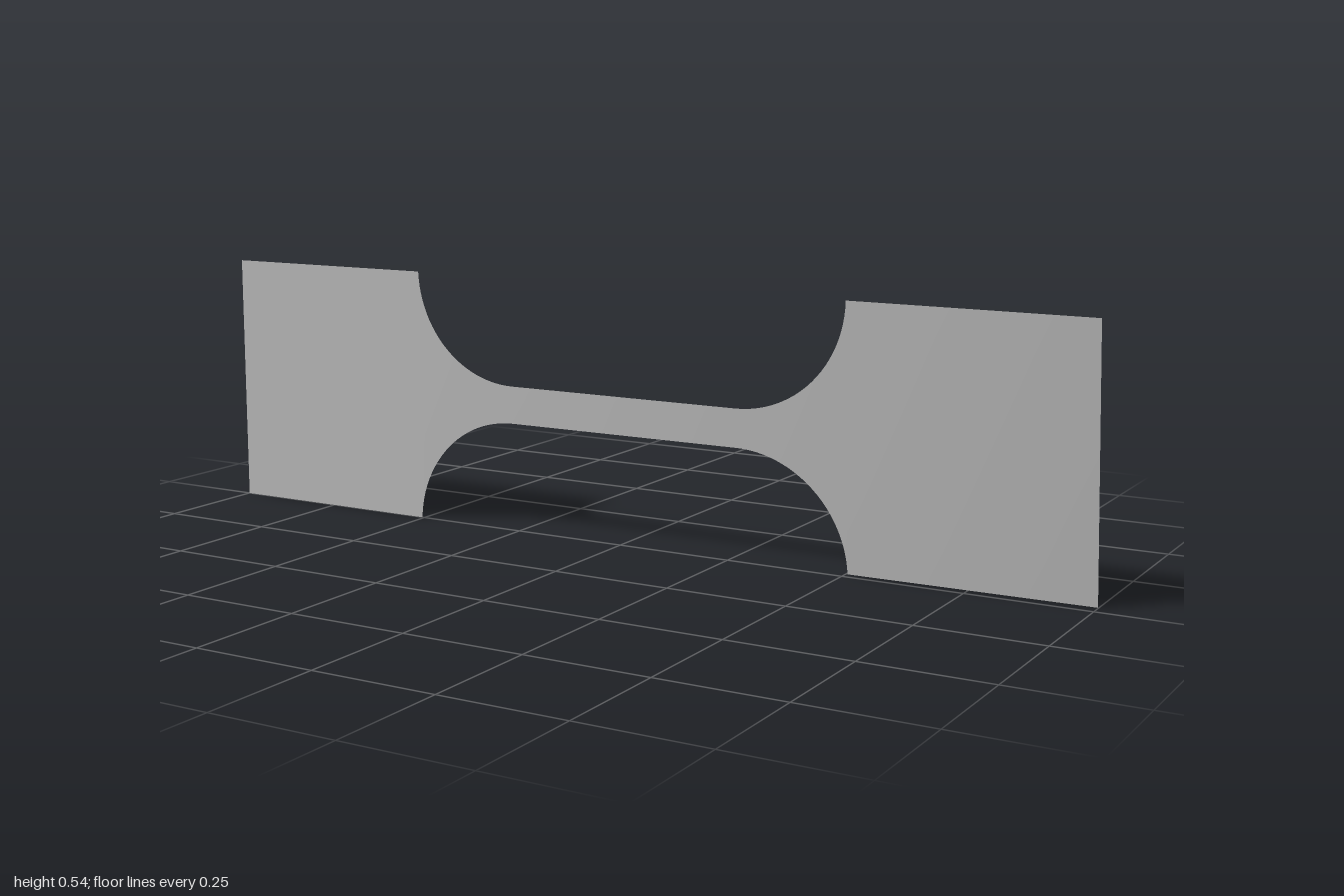
import * as THREE from 'three';

const HALF_HEIGHT = 0.271;  // grip half height, also the height of the centre line
const NECK = 0.04;          // neck half height
const RADIUS = 0.24;        // shoulder fillet radius
const NECK_END = 0.265;     // where the neck meets the fillet
const TWIST_START = -0.5, TWIST_END = 0.096;

// Twist about the long axis grows steadily towards the +x end
const twist = (x) => TWIST_END * Math.max(0, (x - TWIST_START) / (1 - TWIST_START));

// Turns a list of [x, halfHeight] stations into a thin twisted sheet
function sheet(name, stations, material) {
  const rows = 8;
  const geometry = new THREE.PlaneGeometry(1, 1, stations.length - 1, rows);
  const pos = geometry.attributes.position;
  for (let i = 0; i < pos.count; i++) {
    const [x, half] = stations[i % stations.length];
    const h = pos.getY(i) * 2 * half;
    const a = twist(x);
    pos.setXYZ(i, x, HALF_HEIGHT + h * Math.cos(a), h * Math.sin(a));
  }
  geometry.computeVertexNormals();
  const mesh = new THREE.Mesh(geometry, material);
  mesh.name = name;
  return mesh;
}

// Evenly spaced stations of constant height
const straight = (x0, x1, half, n) =>
  Array.from({ length: n + 1 }, (_, i) => [x0 + (x1 - x0) * i / n, half]);

export function createModel() {
  const group = new THREE.Group();
  group.name = 'tensileSpecimen';
  const steel = new THREE.MeshStandardMaterial({ color: 0xbdbdbd, side: THREE.DoubleSide });
  steel.name = 'grey steel';

  // Shoulder fillet, from the neck out to the grip
  const endAngle = Math.acos(1 - (HALF_HEIGHT - NECK) / RADIUS);
  const fillet = Array.from({ length: 25 }, (_, i) => {
    const a = endAngle * i / 24;
    return [NECK_END + RADIUS * Math.sin(a), NECK + RADIUS * (1 - Math.cos(a))];
  });
  const gripStart = fillet[24][0];
  const mirror = (list) => list.map(([x, h]) => [-x, h]).reverse();

  const grip = straight(gripStart, 1, HALF_HEIGHT, 12);
  group.add(
    sheet('neck', straight(-NECK_END, NECK_END, NECK, 16), steel),
    sheet('leftShoulder', fillet, steel),
    sheet('rightShoulder', mirror(fillet), steel),
    sheet('leftGrip', grip, steel),
    sheet('rightGrip', mirror(grip), steel),
  );
  return group;
}
